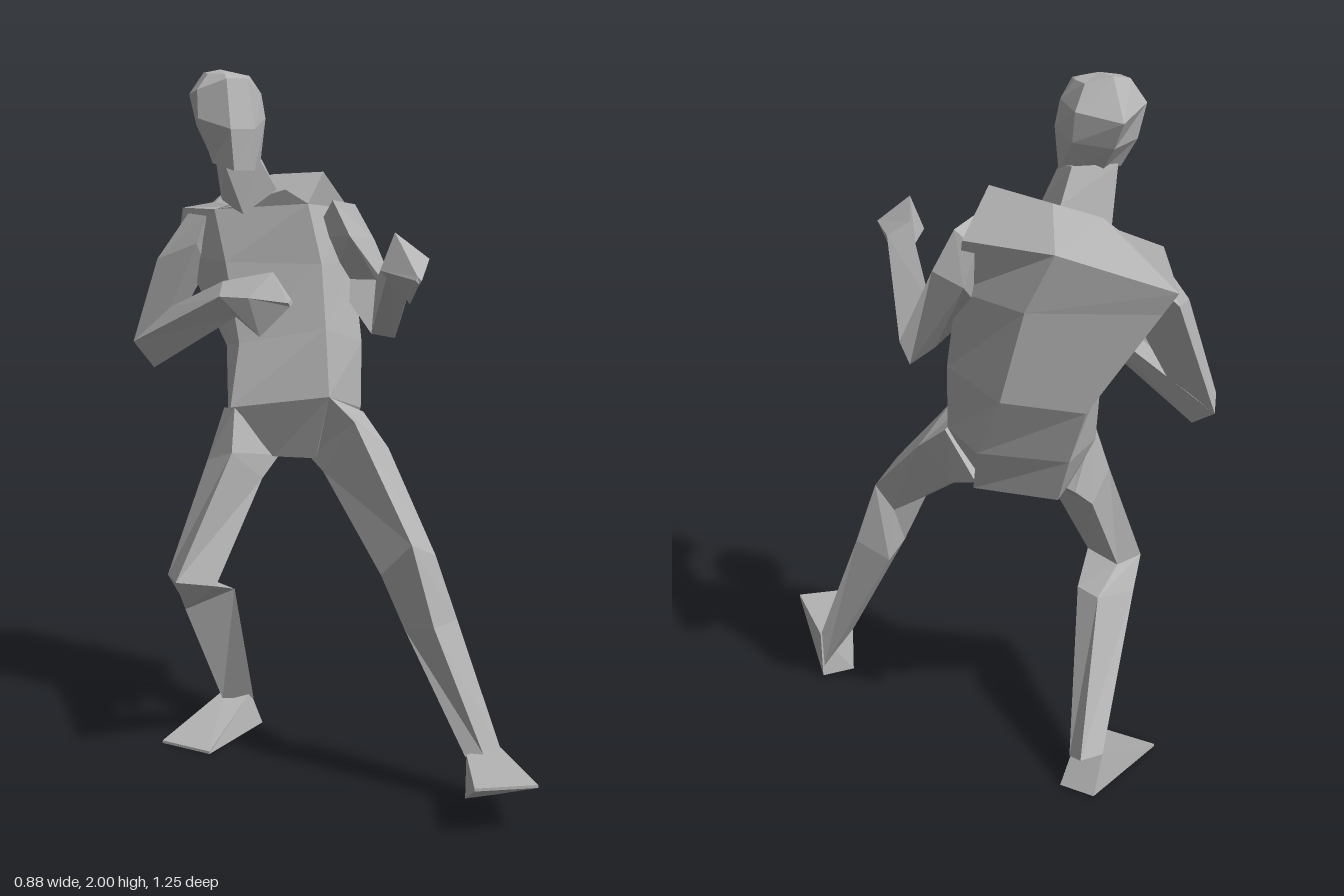
import * as THREE from 'three';

const clay = new THREE.MeshStandardMaterial({ color: 0xb4b4b4 });
clay.name = 'clay grey';

// Skins a closed, faceted body through equal-length rings of [x, y, z] corners.
function loft(name, rings) {
  const tris = [];
  const n = rings[0].length;
  for (let r = 0; r + 1 < rings.length; r++) {
    for (let i = 0; i < n; i++) {
      const j = (i + 1) % n;
      const a = rings[r][i], b = rings[r][j], c = rings[r + 1][j], d = rings[r + 1][i];
      tris.push([a, b, c], [a, c, d]);
    }
  }
  const first = rings[0], last = rings[rings.length - 1];
  for (let i = 1; i + 1 < n; i++) {
    tris.push([first[0], first[i + 1], first[i]], [last[0], last[i], last[i + 1]]);
  }
  // Turn the faces outward whichever way the rings run
  const v = p => new THREE.Vector3(...p);
  const volume = tris.reduce((s, [a, b, c]) => s + v(a).dot(v(b).cross(v(c))), 0);
  if (volume < 0) tris.forEach(t => t.reverse());
  const geometry = new THREE.BufferGeometry();
  geometry.setAttribute('position', new THREE.Float32BufferAttribute(tris.flat(2), 3));
  geometry.computeVertexNormals();
  const mesh = new THREE.Mesh(geometry, clay);
  mesh.name = name;
  return mesh;
}

export function createModel() {
  const figure = new THREE.Group();
  figure.name = 'figure';
  const add = (name, ...rings) => figure.add(loft(name, rings));

  // Torso, turned to its right; corners: front right, front left, left, back left, back right, right
  add('torso',
    [[-0.08, 0.89, -0.2], [0.03, 0.89, -0.14], [0.1, 0.89, -0.2], [0.13, 0.89, -0.26], [-0.06, 0.89, -0.4], [-0.13, 0.89, -0.31]],
    [[-0.21, 1.04, -0.19], [0.05, 1.08, -0.06], [0.17, 1.03, -0.16], [0.14, 1.02, -0.32], [-0.07, 1.02, -0.45], [-0.19, 1.02, -0.33]],
    [[-0.175, 1.22, -0.23], [0.05, 1.27, -0.1], [0.18, 1.22, -0.19], [0.11, 1.2, -0.42], [-0.09, 1.18, -0.51], [-0.185, 1.2, -0.37]],
    [[-0.2, 1.45, -0.3], [0.05, 1.45, -0.15], [0.17, 1.45, -0.25], [0.06, 1.45, -0.46], [-0.25, 1.46, -0.6], [-0.29, 1.46, -0.49]],
    [[-0.22, 1.6, -0.36], [0.02, 1.62, -0.19], [0.17, 1.6, -0.3], [0, 1.61, -0.51], [-0.28, 1.52, -0.625], [-0.29, 1.6, -0.5]],
    [[-0.17, 1.61, -0.31], [-0.04, 1.66, -0.22], [0.07, 1.71, -0.21], [-0.04, 1.7, -0.38], [-0.15, 1.67, -0.44], [-0.21, 1.62, -0.4]]);

  // Neck
  add('neck',
    [[-0.16, 1.59, -0.23], [-0.06, 1.66, -0.24], [-0.06, 1.69, -0.38], [-0.19, 1.62, -0.4]],
    [[-0.22, 1.74, -0.21], [-0.12, 1.75, -0.21], [-0.1, 1.78, -0.35], [-0.22, 1.78, -0.36]]);

  // Head; corners: front right, front left, left front, left back, back, right back, right front
  add('head',
    [[-0.2, 1.715, -0.16], [-0.14, 1.715, -0.165], [-0.11, 1.735, -0.23], [-0.12, 1.765, -0.32], [-0.18, 1.77, -0.36], [-0.24, 1.765, -0.33], [-0.245, 1.735, -0.25]],
    [[-0.21, 1.83, -0.155], [-0.14, 1.83, -0.165], [-0.09, 1.86, -0.25], [-0.1, 1.84, -0.35], [-0.19, 1.83, -0.405], [-0.27, 1.84, -0.36], [-0.285, 1.86, -0.25]],
    [[-0.21, 1.97, -0.21], [-0.15, 1.97, -0.21], [-0.1, 1.93, -0.26], [-0.1, 1.92, -0.365], [-0.2, 1.9, -0.438], [-0.29, 1.93, -0.365], [-0.285, 1.94, -0.26]],
    [[-0.21, 1.985, -0.24], [-0.16, 1.98, -0.24], [-0.13, 1.98, -0.28], [-0.13, 1.985, -0.35], [-0.2, 2, -0.36], [-0.25, 1.99, -0.35], [-0.25, 1.985, -0.28]]);

  // Left arm, reaching forward; corners: front or top, outer, back or bottom, inner
  const leftElbow = [[0.22, 1.4, -0.18], [0.31, 1.31, -0.2], [0.275, 1.23, -0.17], [0.19, 1.25, -0.12]];
  const leftWrist = [[0.19, 1.53, 0.11], [0.25, 1.49, 0.13], [0.22, 1.42, 0.17], [0.17, 1.46, 0.13]];
  add('leftUpperArm',
    [[0.09, 1.63, -0.18], [0.175, 1.615, -0.25], [0.14, 1.58, -0.32], [0.05, 1.52, -0.26]],
    [[0.13, 1.53, -0.14], [0.235, 1.51, -0.25], [0.18, 1.49, -0.345], [0.11, 1.4, -0.25]],
    leftElbow);
  add('leftForearm', leftElbow, leftWrist);
  add('leftHand', leftWrist,
    [[0.15, 1.56, 0.25], [0.24, 1.49, 0.27], [0.19, 1.37, 0.26], [0.11, 1.46, 0.25]],
    [[0.18, 1.45, 0.36], [0.19, 1.44, 0.365], [0.185, 1.43, 0.36], [0.175, 1.44, 0.36]]);

  // Right arm, folded across the chest
  add('rightUpperArm',
    [[-0.24, 1.58, -0.39], [-0.28, 1.585, -0.46], [-0.26, 1.51, -0.57], [-0.2, 1.52, -0.46]],
    [[-0.27, 1.5, -0.38], [-0.37, 1.45, -0.49], [-0.29, 1.48, -0.61], [-0.23, 1.42, -0.45]],
    [[-0.34, 1.31, -0.44], [-0.44, 1.2, -0.53], [-0.4, 1.18, -0.61], [-0.38, 1.12, -0.52]]);
  const rightWrist = [[-0.22, 1.4, -0.24], [-0.24, 1.36, -0.19], [-0.19, 1.3, -0.2], [-0.16, 1.37, -0.26]];
  add('rightForearm',
    [[-0.34, 1.31, -0.44], [-0.44, 1.2, -0.53], [-0.38, 1.12, -0.52], [-0.4, 1.18, -0.61]],
    rightWrist);
  add('rightHand', rightWrist,
    [[-0.09, 1.43, -0.16], [-0.17, 1.36, -0.12], [-0.14, 1.25, -0.11], [-0.06, 1.37, -0.2]],
    [[-0.06, 1.36, -0.06], [-0.07, 1.35, -0.05], [-0.065, 1.34, -0.055], [-0.055, 1.35, -0.06]]);

  // Left leg, stepping forward; corners: front, outer, back, inner
  const leftKnee = [[0.18, 0.73, 0.33], [0.27, 0.68, 0.26], [0.23, 0.62, 0.2], [0.12, 0.63, 0.24]];
  add('leftThigh',
    [[0.05, 1.08, -0.06], [0.175, 1.02, -0.15], [0.12, 0.9, -0.25], [0.02, 0.89, -0.17]],
    [[0.1, 1.02, 0.03], [0.22, 0.93, -0.04], [0.15, 0.85, -0.13], [0.04, 0.86, -0.09]],
    leftKnee);
  add('leftShin', leftKnee,
    [[0.24, 0.5, 0.345], [0.33, 0.5, 0.27], [0.26, 0.48, 0.155], [0.18, 0.48, 0.27]],
    [[0.37, 0.15, 0.39], [0.435, 0.14, 0.355], [0.43, 0.04, 0.34], [0.325, 0.14, 0.37]]);
  add('leftFoot',
    [[0.335, 0.01, 0.345], [0.435, 0.01, 0.335], [0.435, 0.15, 0.35], [0.325, 0.15, 0.38]],
    [[0.27, 0.135, 0.61], [0.44, 0.135, 0.625], [0.44, 0.143, 0.625], [0.27, 0.143, 0.61]]);

  // Right leg, bent behind
  const rightKnee = [[-0.4, 0.57, -0.04], [-0.4, 0.56, -0.18], [-0.32, 0.55, -0.2], [-0.28, 0.545, -0.07]];
  add('rightThigh',
    [[-0.2, 1.04, -0.18], [-0.215, 1.03, -0.26], [-0.12, 0.89, -0.37], [-0.06, 0.89, -0.22]],
    [[-0.22, 0.92, -0.125], [-0.27, 0.88, -0.24], [-0.19, 0.82, -0.32], [-0.12, 0.83, -0.18]],
    rightKnee);
  add('rightShin', rightKnee,
    [[-0.36, 0.47, -0.12], [-0.355, 0.48, -0.24], [-0.23, 0.5, -0.28], [-0.2, 0.5, -0.2]],
    [[-0.2, 0.1, -0.41], [-0.18, 0.11, -0.47], [-0.11, 0.11, -0.48], [-0.1, 0.09, -0.42]]);
  add('rightFoot',
    [[-0.07, 0.005, -0.43], [-0.14, 0.005, -0.51], [-0.18, 0.11, -0.47], [-0.11, 0.11, -0.42]],
    [[-0.28, 0, -0.2], [-0.4, 0, -0.33], [-0.4, 0.008, -0.33], [-0.28, 0.008, -0.2]]);

  return figure;
}
